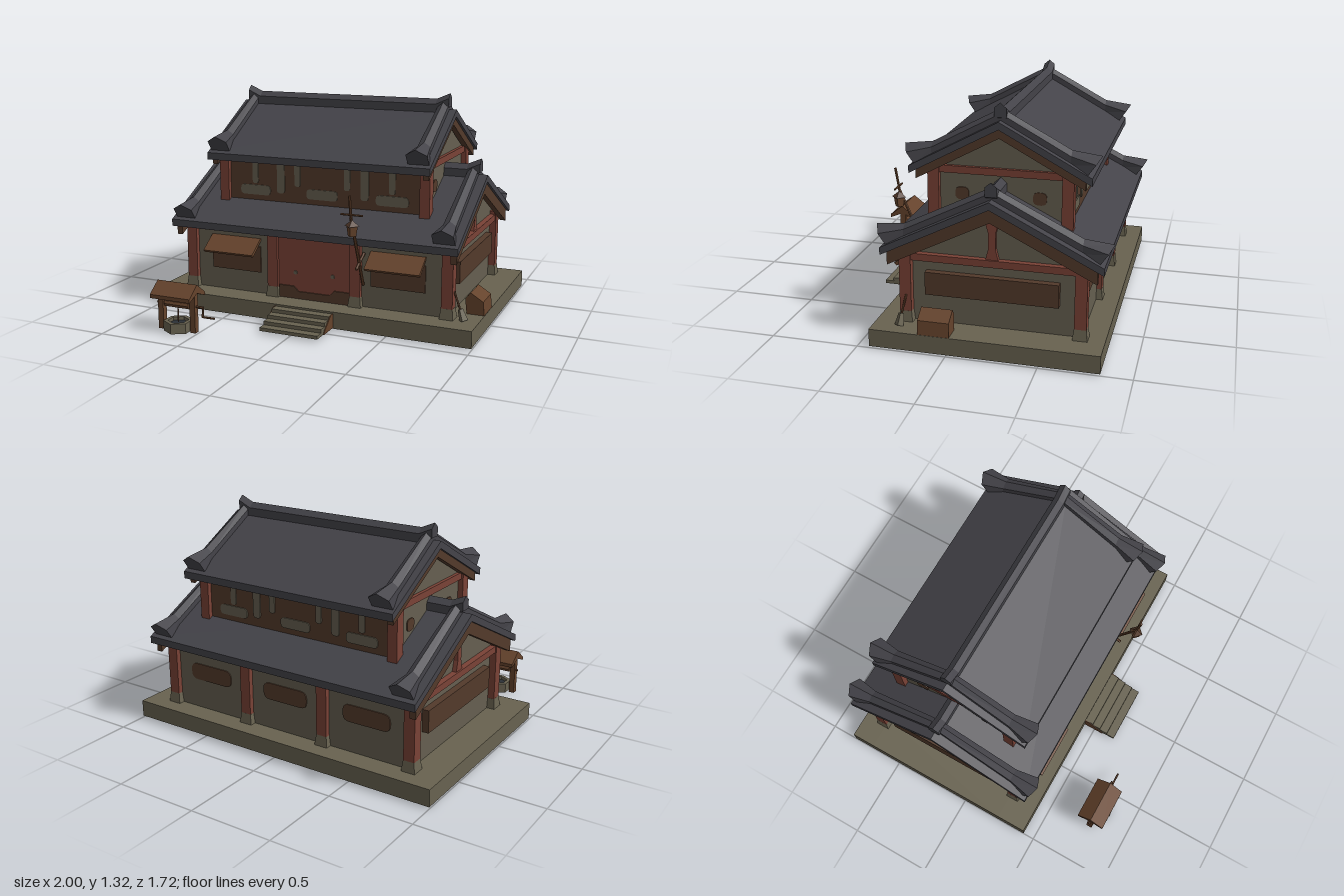
import * as THREE from 'three';

const mat = (name, color) => {
  const m = new THREE.MeshStandardMaterial({ color, flatShading: true });
  m.name = name;
  return m;
};
const CZ = -0.215; // z of the roof ridges

export function createModel() {
  const root = new THREE.Group();
  root.name = 'house';
  const stone = mat('stone', 0x686250), plaster = mat('plaster', 0x655f50), red = mat('red timber', 0x7a4236),
    brown = mat('brown timber', 0x533a2b), tile = mat('roof tile', 0x444349), wood = mat('light wood', 0x65432c),
    water = mat('dark water', 0x2b3036);

  const add = (name, geo, m, parent = root) => {
    const mesh = new THREE.Mesh(geo, m);
    mesh.name = name;
    parent.add(mesh);
    return mesh;
  };
  // box from its limits
  const box = (name, m, x0, x1, y0, y1, z0, z1) => {
    const g = new THREE.BoxGeometry(x1 - x0, y1 - y0, z1 - z0);
    g.translate((x0 + x1) / 2, (y0 + y1) / 2, (z0 + z1) / 2);
    return add(name, g, m);
  };
  // [z, y] outline extruded from x0 to x1
  const profile = (name, m, pts, x0, x1) => {
    const s = new THREE.Shape(pts.map(([z, y]) => new THREE.Vector2(-z, y)));
    const g = new THREE.ExtrudeGeometry(s, { depth: x1 - x0, bevelEnabled: false });
    g.rotateY(Math.PI / 2).translate(x0, 0, 0);
    return add(name, g, m);
  };
  // round bar between two points
  const bar = (name, m, a, b, r = 0.008, r2 = r, sides = 6) => {
    const A = new THREE.Vector3(...a), B = new THREE.Vector3(...b), d = B.clone().sub(A);
    const mesh = add(name, new THREE.CylinderGeometry(r2, r, d.length(), sides), m);
    mesh.position.copy(A).add(B).multiplyScalar(0.5);
    mesh.quaternion.setFromUnitVectors(new THREE.Vector3(0, 1, 0), d.normalize());
    return mesh;
  };
  // thin rounded painted panel; turn rotates it to face another side
  const panel = (name, m, x, y, z, w, h, turn = 0) => {
    const s = new THREE.Shape(), r = Math.min(w, h) * 0.42;
    s.moveTo(-w / 2 + r, -h / 2);
    s.lineTo(w / 2 - r, -h / 2).quadraticCurveTo(w / 2, -h / 2, w / 2, -h / 2 + r);
    s.lineTo(w / 2, h / 2 - r).quadraticCurveTo(w / 2, h / 2, w / 2 - r, h / 2);
    s.lineTo(-w / 2 + r, h / 2).quadraticCurveTo(-w / 2, h / 2, -w / 2, h / 2 - r);
    s.lineTo(-w / 2, -h / 2 + r).quadraticCurveTo(-w / 2, -h / 2, -w / 2 + r, -h / 2);
    const mesh = add(name, new THREE.ExtrudeGeometry(s, { depth: 0.006, bevelEnabled: false, curveSegments: 4 }), m);
    mesh.position.set(x, y, z);
    mesh.rotation.y = turn;
  };
  // five-sided ridge lofted through stations {p, w, h, lean}, along x or z
  const ridge = (name, axis, stations) => {
    const d = axis === 'x' ? new THREE.Vector3(1, 0, 0) : new THREE.Vector3(0, 0, 1);
    const s = d.clone().cross(new THREE.Vector3(0, 1, 0));
    const rings = stations.map(({ p, w, h, lean = 0 }) =>
      [[-0.5, 0], [-0.5, 0.65], [0, 1], [0.5, 0.65], [0.5, 0]].map(([a, b]) =>
        new THREE.Vector3(...p).addScaledVector(s, a * w).addScaledVector(d, lean * b * h).setY(p[1] + b * h)));
    const v = [], n = rings.length;
    for (let i = 0; i < n - 1; i++) for (let j = 0; j < 5; j++) {
      const k = (j + 1) % 5, P = rings[i], Q = rings[i + 1];
      v.push(P[j], P[k], Q[j], P[k], Q[k], Q[j]);
    }
    for (let j = 1; j < 4; j++) {
      v.push(rings[0][0], rings[0][j + 1], rings[0][j]);
      v.push(rings[n - 1][0], rings[n - 1][j], rings[n - 1][j + 1]);
    }
    const g = new THREE.BufferGeometry().setFromPoints(v);
    g.computeVertexNormals();
    add(name, g, tile);
  };

  // gabled roof with barge boards, ridge and flared end ridges
  const roof = (name, X, half, apex, slope, endX, ridgeX, barge) => {
    const chevron = (t, top, th) => [[CZ - t, top - t * slope], [CZ, top], [CZ + t, top - t * slope],
      [CZ + t, top - t * slope - th], [CZ, top - th], [CZ - t, top - t * slope - th]];
    profile(name + 'Roof', tile, chevron(half, apex, 0.042), -X, X);
    for (const s of [-1, 1]) {
      const a = s * (X - 0.05), b = s * (X - 0.015);
      profile(name + 'BargeBoard', brown, chevron(half - 0.035, apex - 0.042, barge), Math.min(a, b), Math.max(a, b));
      const st = (t, w, h, lean) => ({ p: [s * endX, apex - Math.abs(t) * slope - 0.01, CZ + t], w, h, lean });
      const e = half - 0.03;
      ridge(name + 'EndRidge', 'z', [st(-e, 0.125, 0.1, -0.7), st(-e + 0.09, 0.075, 0.072, 0), st(0, 0.06, 0.07, 0),
        st(e - 0.09, 0.075, 0.072, 0), st(e, 0.125, 0.1, 0.7)]);
    }
    const y = apex - 0.025, w = 0.066;
    ridge(name + 'MainRidge', 'x', [{ p: [-ridgeX, y + 0.04, CZ], w, h: 0.08 }, { p: [-ridgeX + 0.08, y, CZ], w, h: 0.085 },
      { p: [ridgeX - 0.08, y, CZ], w, h: 0.085 }, { p: [ridgeX, y + 0.04, CZ], w, h: 0.08 }]);
  };
  roof('lower', 0.9, 0.605, 0.85, 0.5, 0.815, 0.86, 0.075);
  roof('upper', 0.7, 0.5, 1.225, 0.54, 0.625, 0.66, 0.05);

  // hollow stone platform, open below
  box('platformFront', stone, -1, 1, 0.01, 0.11, 0.42, 0.43);
  box('platformBack', stone, -1, 1, 0.01, 0.11, -0.83, -0.82);
  box('platformTopFront', stone, -1, 1, 0.1, 0.11, 0.25, 0.43);
  box('platformTopBack', stone, -1, 1, 0.1, 0.11, -0.83, -0.68);
  for (const s of [-1, 1]) {
    box('platformSide', stone, s > 0 ? 0.99 : -1, s > 0 ? 1 : -0.99, 0.01, 0.11, -0.82, 0.42);
    box('platformTopSide', stone, s > 0 ? 0.8 : -1, s > 0 ? 1 : -0.8, 0.1, 0.11, -0.68, 0.25);
  }
  // entrance steps
  for (let i = 0; i < 4; i++) box('step', stone, -0.18, 0.18, 0.015, 0.035 + i * 0.021, 0.42, 0.64 - i * 0.052);
  for (const x of [-0.185, 0.18]) profile('stepString', wood, [[0.43, 0.015], [0.56, 0.015], [0.54, 0.04], [0.46, 0.1], [0.43, 0.1]], x, x + 0.005);

  // ground floor walls
  box('frontWall', plaster, -0.81, 0.81, 0.1, 0.54, 0.25, 0.27);
  box('backWall', plaster, -0.81, 0.81, 0.1, 0.54, -0.7, -0.68);
  const gable = (h0, h1, h2, t) => [[CZ - t, h0], [CZ + t, h0], [CZ + t, h1], [CZ, h2], [CZ - t, h1]];
  for (const s of [-1, 1]) {
    const side = (name, m, pts, a, b) => profile(name, m, pts, s > 0 ? a : -b, s > 0 ? b : -a);
    const rect = (z0, z1, y0, y1) => [[z0, y0], [z1, y0], [z1, y1], [z0, y1]];
    side('lowerGableWall', plaster, gable(0.1, 0.54, 0.8, 0.48), 0.79, 0.81);
    side('sideBeam', red, rect(-0.68, 0.25, 0.47, 0.51), 0.81, 0.845);
    side('kingPost', red, [[CZ - 0.035, 0.51], [CZ + 0.035, 0.51], [CZ + 0.02, 0.57], [CZ + 0.02, 0.66], [CZ + 0.035, 0.71],
      [CZ, 0.73], [CZ - 0.035, 0.71], [CZ - 0.02, 0.66], [CZ - 0.02, 0.57]], 0.81, 0.835);
    side('sideShutter', brown, rect(-0.58, 0.155, 0.28, 0.41), 0.81, 0.85);
    // upper storey ends
    side('upperGableWall', plaster, gable(0.6, 0.98, 1.18, 0.36), 0.62, 0.64);
    side('upperSideBeam', red, rect(-0.56, 0.13, 0.92, 0.96), 0.64, 0.66);
    for (const z of [0, -0.43]) panel('sideVent', brown, s * 0.64, 0.805, z, 0.075, 0.07, s * Math.PI / 2);
    for (const z of [0.155, -0.585]) side('upperPost', red, rect(z - 0.032, z + 0.032, 0.55, 0.95), 0.612, 0.672);
  }

  // posts on stone feet, front and back
  for (const x of [-0.818, -0.265, 0.265, 0.818]) for (const z of [0.267, -0.697]) {
    box('post', red, x - 0.033, x + 0.033, 0.11, 0.53, z - 0.033, z + 0.033);
    const g = new THREE.CylinderGeometry(0.047, 0.058, 0.062, 4, 1).rotateY(Math.PI / 4);
    g.translate(x, 0.141, z);
    add('postFoot', g, stone);
  }
  box('frontBeam', red, -0.82, 0.82, 0.475, 0.505, 0.26, 0.285);
  box('backBeam', red, -0.82, 0.82, 0.475, 0.505, -0.715, -0.69);

  // double door with scalloped kick plate
  box('door', red, -0.235, 0.235, 0.1, 0.48, 0.24, 0.28);
  const kick = new THREE.Shape([[-0.225, 0.11], [0.225, 0.11], [0.225, 0.185], [0.13, 0.185], [0.1, 0.155], [-0.1, 0.155],
    [-0.13, 0.185], [-0.225, 0.185]].map((p) => new THREE.Vector2(...p)));
  add('doorKickPlate', new THREE.ExtrudeGeometry(kick, { depth: 0.008, bevelEnabled: false }).translate(0, 0, 0.28), brown);
  for (const x of [-0.12, 0.12]) panel('doorKnob', plaster, x, 0.27, 0.28, 0.022, 0.022);

  // front windows under propped awnings, back windows
  for (const x of [-0.52, 0.52]) {
    box('window', brown, x - 0.165, x + 0.165, 0.24, 0.4, 0.265, 0.278);
    profile('awning', wood, [[0.27, 0.435], [0.375, 0.36], [0.39, 0.375], [0.28, 0.45], [0.27, 0.45]], x - 0.165, x + 0.165);
  }
  for (const x of [-0.54, 0, 0.54]) panel('backWindow', brown, x, 0.34, -0.7, 0.3, 0.1, Math.PI);

  // upper storey long sides with light openings
  for (const [s, z] of [[1, 0.15], [-1, -0.58]]) {
    box('upperWall', brown, -0.63, 0.63, 0.55, 0.95, z - 0.01, z + 0.01);
    const f = z + s * 0.01, turn = s > 0 ? 0 : Math.PI;
    for (const x of [-0.44, 0, 0.44]) panel('lowOpening', plaster, x, 0.725, f, 0.2, 0.06, turn);
    for (const x of [-0.44, -0.16, 0.16, 0.44]) panel('tallOpening', plaster, x, 0.835, f, 0.038, 0.14, turn);
    for (const x of [-0.27, 0.27]) panel('slotOpening', plaster, x, 0.81, f, 0.05, 0.19, turn);
  }

  // well with roof, drum and crank
  const wx = -0.635, wz = 0.77;
  const basin = new THREE.LatheGeometry([[0.06, 0.035], [0.06, 0.06], [0.085, 0.06], [0.085, 0], [0.06, 0]]
    .map((p) => new THREE.Vector2(...p)).reverse(), 6);
  add('wellBasin', basin.translate(wx, 0, wz), stone);
  add('wellWater', new THREE.CylinderGeometry(0.062, 0.062, 0.03, 6).translate(wx, 0.025, wz), water);
  for (const s of [-1, 1]) box('wellPost', wood, wx + s * 0.105 - 0.017, wx + s * 0.105 + 0.017, 0, 0.235, wz - 0.018, wz + 0.018);
  profile('wellRoof', wood, [[wz - 0.085, 0.2], [wz - 0.085, 0.222], [wz, 0.285], [wz + 0.085, 0.222], [wz + 0.085, 0.2], [wz, 0.235]], -0.765, -0.505);
  bar('wellDrum', wood, [wx - 0.08, 0.155, wz], [wx + 0.08, 0.155, wz], 0.022, 0.022, 8);
  bar('wellAxle', wood, [-0.77, 0.155, wz], [-0.465, 0.155, wz], 0.007);
  bar('crankArm', wood, [-0.468, 0.16, wz], [-0.468, 0.1, wz + 0.008], 0.006);
  bar('crankHandle', wood, [-0.47, 0.102, wz + 0.008], [-0.39, 0.102, wz + 0.008], 0.006);
  bar('wellRope', wood, [wx, 0.15, wz], [wx, 0.05, wz], 0.004);

  // leaning lantern pole by the door
  const lx = 0.315;
  bar('lanternPole', wood, [lx, 0.25, 0.29], [lx, 0.69, 0.484], 0.009);
  bar('lanternPoleTip', wood, [lx, 0.68, 0.48], [lx, 0.815, 0.503], 0.008);
  bar('poleBrace', wood, [lx, 0.37, 0.4], [lx, 0.435, 0.28], 0.009);
  bar('poleCrossbar', wood, [0.255, 0.705, 0.485], [0.385, 0.705, 0.485], 0.006);
  add('lantern', new THREE.CylinderGeometry(0.034, 0.025, 0.06, 4).translate(0.322, 0.615, 0.482), wood);
  add('lanternCap', new THREE.ConeGeometry(0.044, 0.035, 4).translate(0.322, 0.66, 0.482), brown);

  // chest with pitched lid at the side
  const chest = new THREE.Shape([[0.895, 0.11], [0.998, 0.11], [0.99, 0.19], [0.915, 0.237], [0.885, 0.2]].map((p) => new THREE.Vector2(...p)));
  add('chest', new THREE.ExtrudeGeometry(chest, { depth: 0.175, bevelEnabled: false }).translate(0, 0, -0.02), wood);

  // shovel leaning on the corner post
  bar('shovelHandle', wood, [0.9, 0.15, 0.28], [0.85, 0.27, 0.262], 0.006);
  bar('shovelBlade', stone, [0.915, 0.112, 0.285], [0.892, 0.175, 0.278], 0.026, 0.016, 4);

  return root;
}
